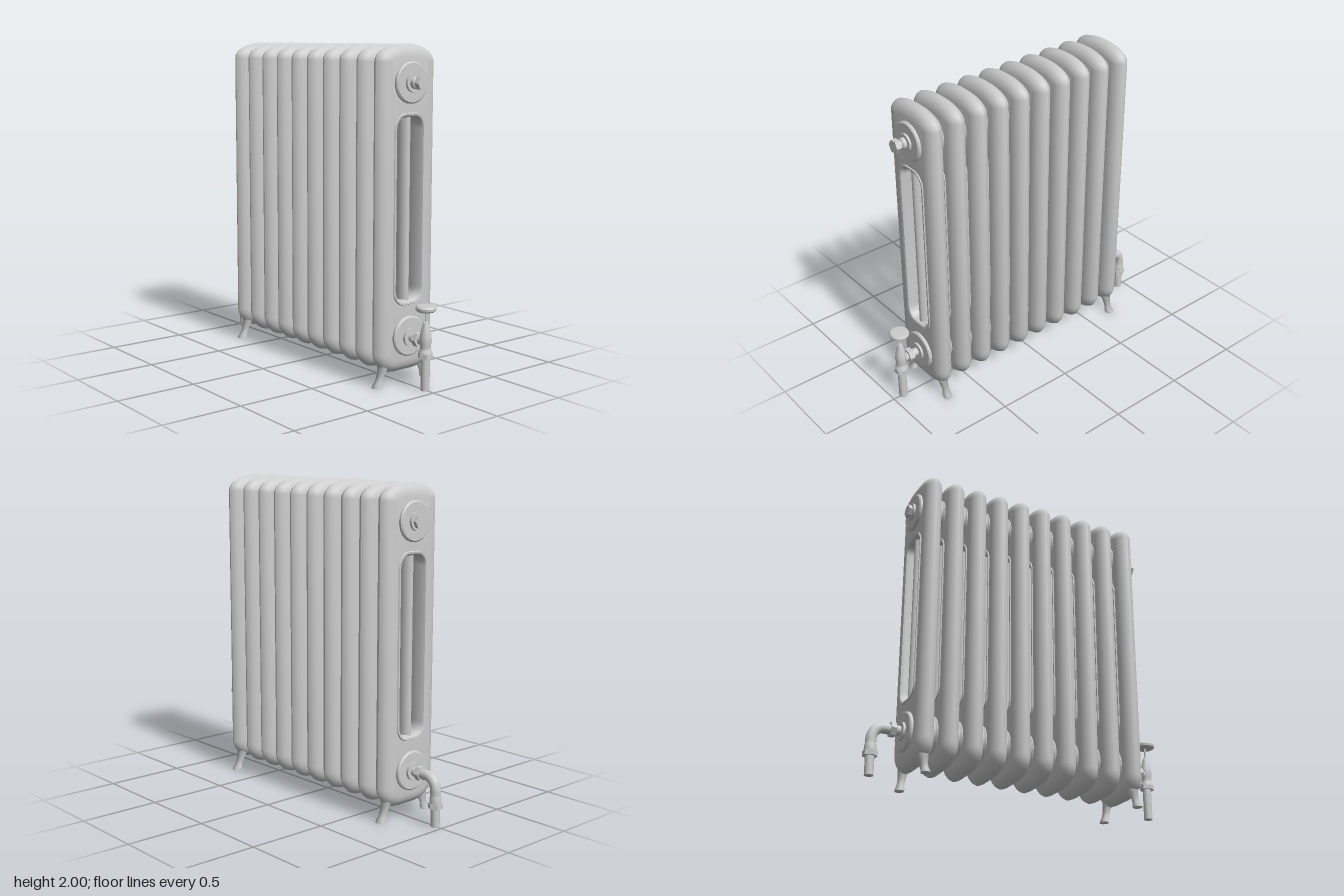
import * as THREE from 'three';
import { toCreasedNormals } from 'three/addons/utils/BufferGeometryUtils.js';

const material = new THREE.MeshStandardMaterial({ color: 0xcccccc });

function add(parent, name, geometry, x = 0, y = 0, z = 0) {
  const mesh = new THREE.Mesh(geometry, material);
  mesh.name = name;
  mesh.position.set(x, y, z);
  parent.add(mesh);
  return mesh;
}

// Turned part from [radius, height] pairs, rising along y
function turned(profile, sides = 24) {
  const points = profile.map(([r, h]) => new THREE.Vector2(r, h));
  return toCreasedNormals(new THREE.LatheGeometry(points, sides), 0.7);
}

// Turned part lying along x; dir = 1 or -1 picks which way it points
function turnedX(profile, sides = 24, dir = 1) {
  return turned(profile, sides).rotateZ(-dir * Math.PI / 2);
}

const disc = (r, a, b) => [[0, a], [r, a], [r, b], [0, b]];

// Rounded rectangle in the z-y plane, always with the same point count;
// top and bottom give the [z, y] radii of their corners
function roundedLoop(hz, y0, y1, top, bottom) {
  const points = [], steps = 7;
  for (let corner = 0; corner < 4; corner++) {
    const sz = corner === 0 || corner === 3 ? 1 : -1;
    const [rz, ry] = corner < 2 ? top : bottom;
    const cy = corner < 2 ? y1 - ry : y0 + ry;
    for (let i = 0; i <= steps; i++) {
      const a = (corner + i / steps) * Math.PI / 2;
      points.push([sz * (hz - rz) + rz * Math.cos(a), cy + ry * Math.sin(a)]);
    }
  }
  return points;
}

// Hollow radiator section: a ridged, rounded band with a raised lip round a long opening
function sectionGeometry() {
  const outer = (d, x) => ({
    x, loop: roundedLoop(0.217 - d, 0.075 + d, 1.995 - d, [0.2 - d, 0.1 - d], [0.15 - d, 0.13 - d]),
  });
  const hole = (d, x) => {
    const r = [0.08 - d, 0.09 - d];
    return { x, loop: roundedLoop(0.115 - d, 0.485 + d, 1.6 - d, r, r) };
  };
  const half = [
    outer(0.007, 0.018), outer(0.022, 0.036), outer(0.045, 0.049), outer(0.075, 0.055),
    hole(-0.004, 0.055), hole(0, 0.062), hole(0.012, 0.06), hole(0.024, 0.04),
  ];
  const rings = [outer(0, 0), ...half, ...half.slice().reverse().map(r => ({ x: -r.x, loop: r.loop }))];
  const n = rings[0].loop.length, m = rings.length;
  const positions = [], index = [];
  for (const ring of rings) for (const [z, y] of ring.loop) positions.push(ring.x, y, z);
  for (let i = 0; i < m; i++) {
    for (let j = 0; j < n; j++) {
      const i2 = (i + 1) % m, j2 = (j + 1) % n;
      const a = i * n + j, b = i2 * n + j, c = i2 * n + j2, d = i * n + j2;
      index.push(a, b, d, b, c, d);
    }
  }
  const geometry = new THREE.BufferGeometry();
  geometry.setAttribute('position', new THREE.Float32BufferAttribute(positions, 3));
  geometry.setIndex(index);
  return toCreasedNormals(geometry, 0.7);
}

export function createModel() {
  const model = new THREE.Group();
  model.name = 'radiator';

  // Ten sections, each with a slim centre column
  const count = 10, first = -0.685, pitch = 0.1562;
  const last = first + pitch * (count - 1);
  const band = sectionGeometry();
  const column = new THREE.CylinderGeometry(1, 1, 1.1, 16).scale(0.048, 1, 0.031);
  for (let i = 0; i < count; i++) {
    const section = new THREE.Group();
    section.name = 'section';
    section.position.x = first + i * pitch;
    add(section, 'sectionBand', band);
    add(section, 'centreColumn', column, 0, 1.0425, 0);
    model.add(section);
  }

  // Necked hubs joining the sections, plus end discs
  const hub = turnedX([
    [0.12, -0.035], [0.12, -0.018], [0.113, -0.012], [0.107, -0.004],
    [0.107, 0.004], [0.113, 0.012], [0.12, 0.018], [0.12, 0.035],
  ], 28);
  const endDisc = dir => turnedX([[0, 0], [0.12, 0], [0.12, 0.068], [0.112, 0.075], [0, 0.075]], 28, dir);
  for (const y of [0.295, 1.775]) {
    for (let i = 0; i < count - 1; i++) add(model, 'hub', hub, first + (i + 0.5) * pitch, y);
    add(model, 'endDiscRight', endDisc(-1), first, y);
    add(model, 'endDiscLeft', endDisc(1), last, y);
  }

  // Tie rods
  for (const y of [0.537, 1.545]) {
    add(model, 'tieRod', turnedX(disc(0.014, first + 2 * pitch, last), 10), 0, y);
  }

  // Upper end plugs
  const plugRight = new THREE.Group();
  plugRight.name = 'plugRight';
  add(plugRight, 'plugCollar', turnedX(disc(0.055, 0.75, 0.775), 20, -1));
  add(plugRight, 'plugNut', turnedX(disc(0.042, 0.77, 0.797), 6, -1));
  plugRight.position.y = 1.775;
  const ventLeft = new THREE.Group();
  ventLeft.name = 'ventLeft';
  add(ventLeft, 'ventCollar', turnedX(disc(0.055, 0.79, 0.81), 20));
  add(ventLeft, 'ventStem', turnedX([[0, 0.8], [0.035, 0.8], [0.033, 0.83], [0.024, 0.835], [0.024, 0.86], [0, 0.86]], 16));
  add(ventLeft, 'ventNut', turnedX(disc(0.042, 0.85, 0.883), 6));
  ventLeft.position.y = 1.775;
  model.add(plugRight, ventLeft);

  // Return pipe with elbow on the right side
  const returnPipe = new THREE.Group();
  returnPipe.name = 'returnPipe';
  const px = -0.948, py = 0.295;
  add(returnPipe, 'returnCollar', turnedX(disc(0.055, 0.75, 0.775), 20, -1), 0, py);
  add(returnPipe, 'returnStem', turnedX(disc(0.03, 0.76, 0.85), 16, -1), 0, py);
  add(returnPipe, 'returnNut', turnedX(disc(0.045, 0.805, 0.838), 6, -1), 0, py);
  const bend = new THREE.CurvePath();
  const V = (x, y) => new THREE.Vector3(x, y, 0);
  bend.add(new THREE.LineCurve3(V(-0.835, py), V(-0.87, py)));
  bend.add(new THREE.CubicBezierCurve3(V(-0.87, py), V(-0.915, py), V(px + 0.005, 0.27), V(px, 0.215)));
  bend.add(new THREE.LineCurve3(V(px, 0.215), V(px, 0.16)));
  add(returnPipe, 'elbow', new THREE.TubeGeometry(bend, 24, 0.032, 16, false));
  add(returnPipe, 'elbowCollar', turned([[0, 0.13], [0.036, 0.13], [0.036, 0.17], [0.032, 0.19], [0, 0.19]], 16), px);
  add(returnPipe, 'elbowNut', turned(disc(0.045, 0.113, 0.143), 6), px);
  add(returnPipe, 'floorPipe', turned(disc(0.027, 0, 0.13), 16), px);
  model.add(returnPipe);

  // Hand valve on the left side
  const valve = new THREE.Group();
  valve.name = 'valve';
  const vx = 0.928;
  add(valve, 'valveCollar', turnedX(disc(0.055, 0.79, 0.81), 20), 0, 0.29);
  add(valve, 'valveStem', turnedX(disc(0.027, 0.8, vx), 16), 0, 0.29);
  add(valve, 'valveStemNut', turnedX(disc(0.045, 0.848, 0.883), 6), 0, 0.29);
  add(valve, 'valvePipe', turned(disc(0.027, 0, 0.2), 16), vx);
  add(valve, 'valveNut', turned(disc(0.045, 0.193, 0.22), 6), vx);
  add(valve, 'valveBody', turned([
    [0, 0.21], [0.04, 0.21], [0.04, 0.23], [0.03, 0.245], [0.032, 0.27], [0.036, 0.3],
    [0.033, 0.33], [0.024, 0.37], [0.015, 0.405], [0, 0.41],
  ], 16), vx);
  add(valve, 'valveSpindle', turned(disc(0.006, 0.4, 0.48), 8), vx);
  add(valve, 'handWheel', turned([
    [0, 0.474], [0.05, 0.47], [0.06, 0.478], [0.062, 0.492], [0.055, 0.503], [0.035, 0.505], [0, 0.5],
  ], 20), vx);
  model.add(valve);

  // Splayed feet under the end sections, leaning outwards to the floor
  for (const x of [first, last]) {
    for (const side of [1, -1]) {
      const foot = turned([
        [0, 0], [0.032, 0], [0.031, 0.012], [0.024, 0.035], [0.024, 0.06], [0.03, 0.09], [0.04, 0.13], [0, 0.15],
      ], 14);
      const p = foot.attributes.position;
      for (let i = 0; i < p.count; i++) p.setZ(i, p.getZ(i) + side * (0.192 - 0.42 * p.getY(i)));
      foot.scale(0.9, 1, 1);
      add(model, 'foot', foot, x);
    }
  }
  return model;
}
